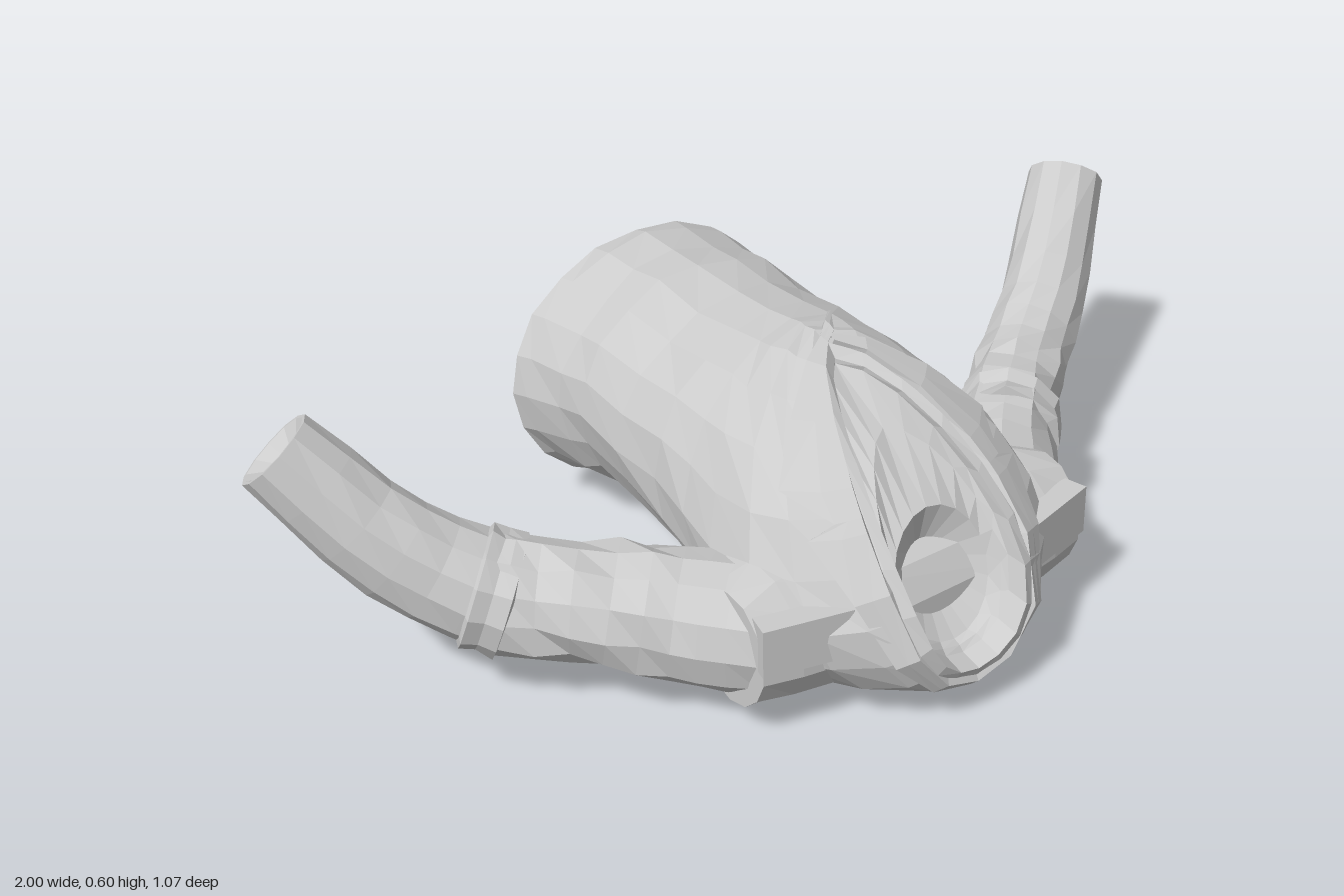
import * as THREE from 'three';

const mat = new THREE.MeshStandardMaterial({ color: 0xcccccc, flatShading: true, side: THREE.DoubleSide });
const SEG = 20;
const V = (x, y, z) => new THREE.Vector3(x, y, z);

// Small repeatable offset that gives the cloth its uneven facets
function wobble(i, j, amount) {
  const s = Math.sin(i * 127.1 + j * 311.7) * 43758.5453;
  return (s - Math.floor(s) - 0.5) * 2 * amount;
}

// Skin rows of points; optional centre points close the first and last row
function loft(name, rows, { closed = true, start, end } = {}) {
  const n = rows[0].length, pos = [], idx = [];
  rows.flat().forEach(p => pos.push(p.x, p.y, p.z));
  for (let i = 0; i < rows.length - 1; i++) {
    for (let j = 0; j < (closed ? n : n - 1); j++) {
      const k = (j + 1) % n, a = i * n + j, c = i * n + k;
      idx.push(a, a + n, c, a + n, c + n, c);
    }
  }
  const cap = (centre, base, flip) => {
    const m = pos.length / 3;
    pos.push(centre.x, centre.y, centre.z);
    for (let j = 0; j < n; j++) {
      const a = base + j, b = base + (j + 1) % n;
      idx.push(m, flip ? a : b, flip ? b : a);
    }
  };
  if (start) cap(start, 0, true);
  if (end) cap(end, (rows.length - 1) * n, false);
  const g = new THREE.BufferGeometry();
  g.setAttribute('position', new THREE.Float32BufferAttribute(pos, 3));
  g.setIndex(idx);
  const flat = g.toNonIndexed();
  flat.computeVertexNormals();
  const mesh = new THREE.Mesh(flat, mat);
  mesh.name = name;
  return mesh;
}

// Tilted torso rings, waist to neck: top z, top y, bottom z, bottom y, half width, forward bulge, taper
const RINGS = [
  [-0.53, 0.56, -0.515, 0.025, 0.31, 0, 0],
  [-0.49, 0.565, -0.48, 0.035, 0.30, 0, 0],
  [-0.40, 0.56, -0.38, 0.06, 0.285, 0, 0],
  [-0.32, 0.565, -0.33, 0.09, 0.28, 0, 0],
  [-0.20, 0.56, -0.20, 0.07, 0.28, 0, 0.03],
  [-0.08, 0.57, -0.05, 0.05, 0.285, 0, 0.08],
  [-0.02, 0.58, 0.08, 0.02, 0.30, 0.02, 0.14],
  [0.00, 0.585, 0.20, 0.002, 0.315, 0.05, 0.2],
  [0.03, 0.588, 0.33, 0.012, 0.315, 0.09, 0.24],
  [0.05, 0.588, 0.42, 0.035, 0.275, 0.12, 0.22],
  [0.07, 0.583, 0.495, 0.052, 0.205, 0.13, 0.15],
  [0.09, 0.578, 0.53, 0.085, 0.152, 0.13, 0.1],
];
function ringPoint([zt, yt, zb, yb, w, bulge, taper], a) {
  const c = Math.cos(a), s = Math.sin(a);
  return V(w * s * (1 - taper * c), (yt + yb) / 2 + (yt - yb) / 2 * c,
    (zt + zb) / 2 + (zt - zb) / 2 * c + bulge * Math.abs(s) ** (c > 0 ? 1.2 : 2));
}
function ring(spec, i, amount) {
  return Array.from({ length: SEG }, (_, j) => {
    const p = ringPoint(spec, j / SEG * Math.PI * 2);
    return p.add(V(wobble(i, j, amount), wobble(i + 40, j, amount), wobble(i + 80, j, amount * 2)));
  });
}
// Point on the torso at ring position s and angle a, lifted off the cloth
function torsoPoint(s, a, lift) {
  const i = Math.min(Math.floor(s), RINGS.length - 2);
  const p = ringPoint(RINGS[i], a).lerp(ringPoint(RINGS[i + 1], a), s - i);
  return p.add(V(p.x, p.y - 0.3, 0.12).normalize().multiplyScalar(lift));
}

// Sleeve: points are x, y, z, sideways radius, upright radius
function makeSleeve(name, pts, cuffT, seed) {
  const group = new THREE.Group();
  group.name = name;
  const curve = new THREE.CatmullRomCurve3(pts.map(p => V(p[0], p[1], p[2])));
  const section = (t, grow, shift, i, amount) => {
    const T = curve.getTangent(t), c = curve.getPoint(t).addScaledVector(T, shift);
    const Y = V(0, 1, 0).addScaledVector(T, -T.y).normalize();
    const X = Y.clone().cross(T);
    const f = t * (pts.length - 1), k = Math.min(Math.floor(f), pts.length - 2);
    const r = [3, 4].map(q => THREE.MathUtils.lerp(pts[k][q], pts[k + 1][q], f - k) + grow);
    return Array.from({ length: 12 }, (_, j) => {
      const a = j / 12 * Math.PI * 2, e = 1 + wobble(i + seed, j, amount);
      return c.clone().addScaledVector(X, r[0] * e * Math.sin(a)).addScaledVector(Y, r[1] * e * Math.cos(a));
    });
  };
  const rows = [];
  for (let i = 0; i <= 14; i++) {
    rows.push(section(i / 14, 0, 0, i, i > 3 && i < 9 ? 0.1 : 0.03));
  }
  // Shallow conical wrist opening
  rows.push(section(1, -0.007, 0, 14, 0.03));
  const endC = curve.getPoint(1).addScaledVector(curve.getTangent(1), -0.05);
  group.add(loft('sleeve', rows, { start: curve.getPoint(0), end: endC }));
  // Gathered fold around the elbow
  const fold = [[-0.04, -0.01], [-0.035, 0.012], [0, 0.005], [0.03, 0.012], [0.04, -0.01]]
    .map(([d, g], i) => section(cuffT, g, d, i + 20, 0.05));
  group.add(loft('elbowFold', fold));
  return group;
}

export function createModel() {
  const model = new THREE.Group();
  model.name = 'jacketTorso';

  // Torso, collar rim, open chest and sunken neck in one skin
  const torso = RINGS.map((r, i) => ring(r, i, i === 0 || i > 9 ? 0.002 : 0.005));
  torso.push(
    ring([0.11, 0.555, 0.535, 0.105, 0.13, 0.13, 0.1], 12, 0),
    ring([0.11, 0.545, 0.49, 0.115, 0.126, 0.115, 0.1], 13, 0),
    ring([0.25, 0.475, 0.48, 0.125, 0.118, 0.06, 0.1], 14, 0),
    ring([0.375, 0.37, 0.465, 0.13, 0.105, 0.005, 0], 15, 0));
  model.add(loft('torso', torso, { start: V(0, 0.29, -0.522), end: V(0, 0.25, 0.35) }));

  // Shoulder yoke across the chest: half span x, centre y, upright radius, centre z, depth radius
  const half = [[0.375, 0.178, 0.118, 0.285, 0.105], [0.3, 0.178, 0.14, 0.255, 0.155], [0.15, 0.175, 0.158, 0.25, 0.18]];
  const spans = [...half.map(([x, ...r]) => [-x, ...r]), ...half.slice().reverse()];
  const yoke = spans.map(([x, cy, ry, cz, rz], i) => Array.from({ length: 14 }, (_, j) => {
    const a = j / 14 * Math.PI * 2;
    return V(x, cy + ry * Math.cos(a) + wobble(i, j, 0.004), cz - rz * Math.sin(a));
  }));
  model.add(loft('shoulderYoke', yoke, { start: V(-0.375, 0.178, 0.285), end: V(0.375, 0.178, 0.285) }));

  // Notched lapel and collar; rows are angle, outer ring, inner ring
  const lapel = [[0.05, 10, 11], [0.35, 9.6, 11], [0.75, 9.1, 11], [1.12, 8.8, 11], [1.28, 10.1, 11],
    [1.36, 9.4, 11], [1.7, 10, 11], [2.2, 10.3, 11], [2.7, 10.4, 11], [Math.PI, 10.4, 11]];
  const overlap = [[-0.3, 6, 6.2], [-0.12, 8, 9.6]];
  for (const side of [1, -1]) {
    const rows = (side < 0 ? [...overlap, ...lapel] : lapel).map(([a, so, si]) =>
      [[so, -0.01], [so, 0.01], [(so + si) / 2, 0.01], [si, 0.01], [si, -0.01]]
        .map(([s, lift]) => torsoPoint(s, a * side, lift)));
    model.add(loft(side > 0 ? 'leftLapel' : 'rightLapel', rows, { closed: false }));

    // Shoulder strap
    const strap = new THREE.Mesh(new THREE.BoxGeometry(0.175, 0.1, 0.05), mat);
    strap.name = side > 0 ? 'leftShoulderStrap' : 'rightShoulderStrap';
    strap.position.set(side * 0.29, 0.222, 0.392);
    strap.rotation.y = side * 0.25;
    model.add(strap);
  }

  // Sleeves run back from the shoulder corners and bend up, each a little differently
  model.add(makeSleeve('leftArm', [
    [0.28, 0.178, 0.27, 0.125, 0.128], [0.375, 0.185, 0.16, 0.118, 0.127], [0.5, 0.205, 0.04, 0.1, 0.118],
    [0.62, 0.222, -0.06, 0.094, 0.11], [0.77, 0.298, -0.16, 0.09, 0.1], [0.938, 0.488, -0.288, 0.08, 0.082],
  ], 0.36, 3));
  model.add(makeSleeve('rightArm', [
    [-0.28, 0.178, 0.28, 0.13, 0.128], [-0.385, 0.182, 0.165, 0.125, 0.127], [-0.515, 0.205, 0.055, 0.11, 0.115],
    [-0.65, 0.225, -0.06, 0.1, 0.11], [-0.79, 0.325, -0.17, 0.092, 0.102], [-0.93, 0.515, -0.295, 0.08, 0.085],
  ], 0.6, 7));
  return model;
}
